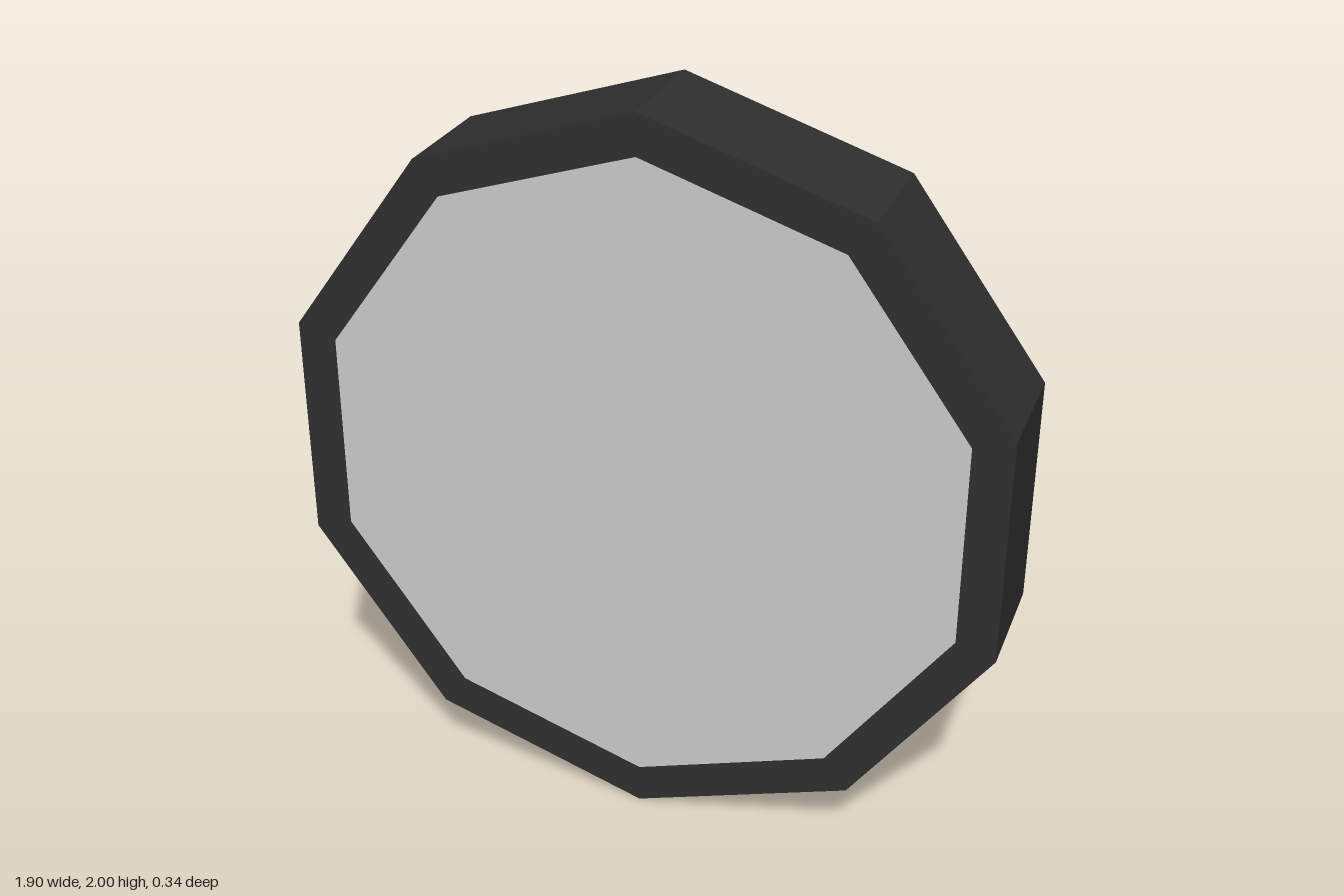
import * as THREE from 'three';

const SIDES = 10;
const RADIUS = 1;
const PANEL_RADIUS = 0.89;
const HALF_DEPTH = 0.168;

export function createModel() {
  const model = new THREE.Group();
  model.name = 'decagonPanel';

  // Dark casing: closed back, ten flat sides and a front rim
  const profile = [
    [0, -HALF_DEPTH],
    [RADIUS, -HALF_DEPTH],
    [RADIUS, HALF_DEPTH],
    [PANEL_RADIUS, HALF_DEPTH],
  ].map(([r, d]) => new THREE.Vector2(r, d));
  const casing = new THREE.Mesh(
    new THREE.LatheGeometry(profile, SIDES).rotateX(Math.PI / 2),
    new THREE.MeshStandardMaterial({ color: 0x2f2f2f, flatShading: true })
  );
  casing.name = 'casing';

  // Light face, flush with the rim
  const face = new THREE.Mesh(
    new THREE.CircleGeometry(PANEL_RADIUS, SIDES, Math.PI / 2),
    new THREE.MeshStandardMaterial({ color: 0xcccccc })
  );
  face.name = 'frontFace';
  face.position.z = HALF_DEPTH;

  model.add(casing, face);
  model.position.y = RADIUS;
  return model;
}
